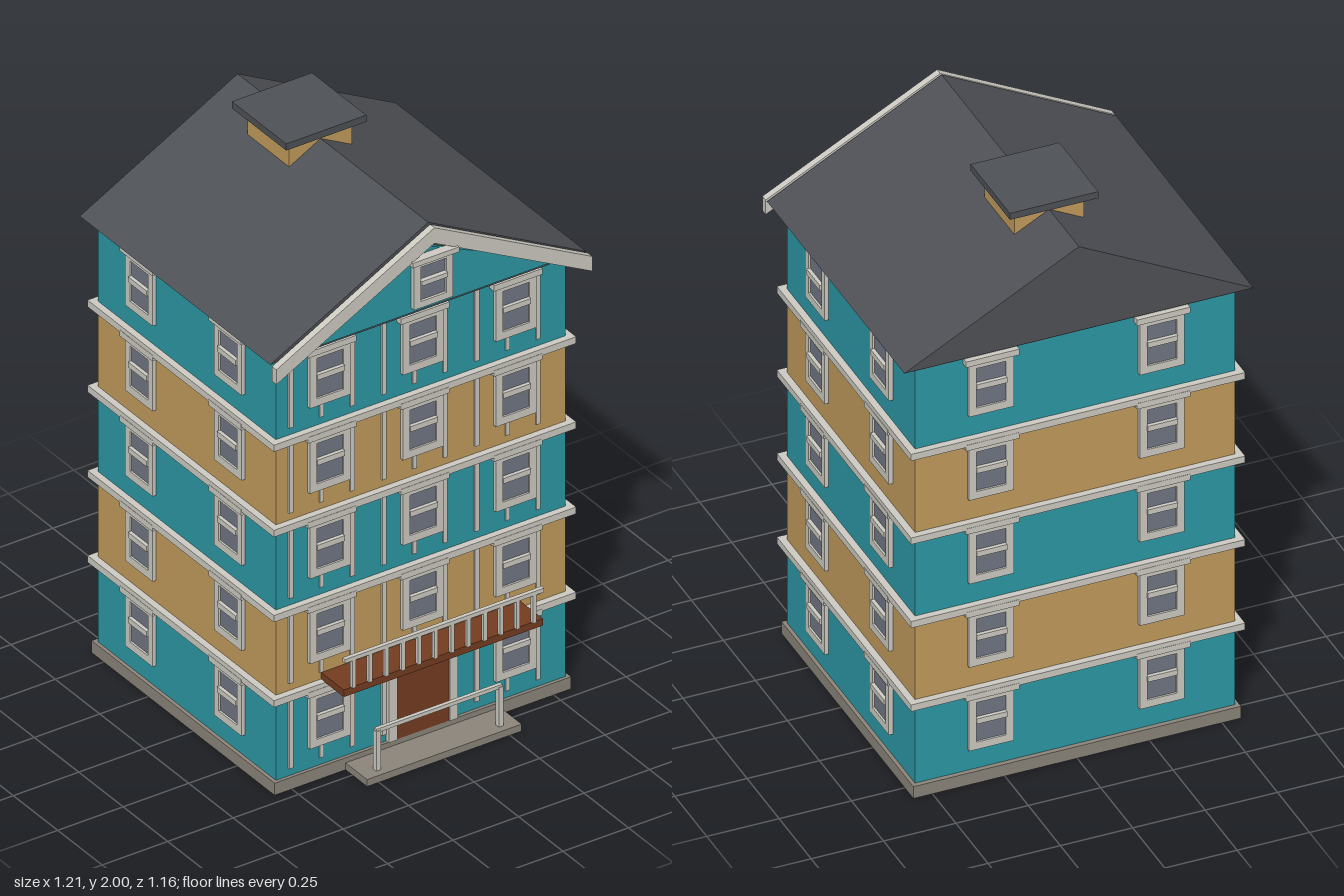
import * as THREE from 'three';

const mat = (name, color, extra = {}) => Object.assign(new THREE.MeshStandardMaterial({ color, ...extra }), { name });
const M = {
  teal: mat('teal wall', 0x2b98a5),
  tan: mat('tan wall', 0xc29b5c),
  trim: mat('pale trim', 0xcdcbc2),
  roof: mat('slate roof', 0x4e5156),
  glass: mat('window glass', 0x707684),
  wood: mat('brown wood', 0x743c20),
  stone: mat('stone base', 0x8b857a),
};

// Box given by its min and max on each axis
function box(parent, name, material, x0, x1, y0, y1, z0, z1) {
  const mesh = new THREE.Mesh(new THREE.BoxGeometry(x1 - x0, y1 - y0, z1 - z0), material);
  mesh.position.set((x0 + x1) / 2, (y0 + y1) / 2, (z0 + z1) / 2);
  mesh.name = name;
  parent.add(mesh);
  return mesh;
}

// Flat outline in x, y pushed from z0 to z1
function slab(parent, name, material, points, z0, z1, hole) {
  const shape = new THREE.Shape(points.map(p => new THREE.Vector2(...p)));
  if (hole) shape.holes.push(new THREE.Path(hole.map(p => new THREE.Vector2(...p))));
  const geo = new THREE.ExtrudeGeometry(shape, { depth: z1 - z0, bevelEnabled: false });
  geo.translate(0, 0, z0);
  const mesh = new THREE.Mesh(geo, material);
  mesh.name = name;
  parent.add(mesh);
  return mesh;
}

const rect = (w, y0, y1) => [[-w, y0], [w, y0], [w, y1], [-w, y1]];

// Sash window standing on the local origin, facing +z
function makeWindow() {
  const g = new THREE.Group();
  g.name = 'window';
  slab(g, 'windowFrame', M.trim, rect(0.077, 0, 0.205), 0, 0.014, rect(0.051, 0.028, 0.178));
  box(g, 'windowGlass', M.glass, -0.052, 0.052, 0.027, 0.179, 0, 0.007);
  box(g, 'windowBar', M.trim, -0.052, 0.052, 0.1, 0.12, 0, 0.02);
  box(g, 'windowHead', M.trim, -0.092, 0.092, 0.198, 0.22, 0, 0.025);
  return g;
}

function placeWindow(parent, x, y, z, turn = 0) {
  const w = makeWindow();
  w.position.set(x, y, z);
  w.rotation.y = turn;
  parent.add(w);
  return w;
}

const BASE = 0.045, STOREY = 0.317, FRONT = 0.45, BACK = -0.55, SIDE = 0.553;

export function createModel() {
  const model = new THREE.Group();
  model.name = 'townhouse';

  // Foundation and entrance step
  box(model, 'foundation', M.stone, -0.566, 0.566, 0, BASE, -0.567, 0.462);
  box(model, 'entranceStep', M.stone, -0.295, 0.295, 0, 0.026, 0.45, 0.583);

  // Five storeys in alternating colours
  for (let k = 0; k < 5; k++) {
    const y = BASE + k * STOREY, top = y + STOREY;
    const storey = new THREE.Group();
    storey.name = 'storey' + (k + 1);
    model.add(storey);
    box(storey, 'walls', k % 2 ? M.tan : M.teal, -SIDE, SIDE, y, top, BACK, FRONT);
    const out = k < 4 ? 0.024 : 0.008;
    box(storey, 'corniceBand', M.trim, -SIDE - out, SIDE + out, top - (k < 4 ? 0.025 : 0.016), top, BACK - out, FRONT + out);

    // Front windows with thin wall battens
    for (const x of [-0.355, 0, 0.355]) {
      if (k > 0 || x !== 0) placeWindow(storey, x, y + 0.08, FRONT);
      for (const dx of [-0.143, -0.026, 0.091]) {
        if (k === 0 && x === 0 && dx === -0.026) continue;
        box(storey, 'batten', M.trim, x + dx - 0.008, x + dx + 0.008, y + 0.028, y + 0.292, FRONT - 0.002, FRONT + 0.006);
      }
    }
    // Side and back windows
    for (const s of [-1, 1]) {
      for (const z of [0.2, -0.3]) placeWindow(storey, s * SIDE, y + 0.08, z, s * Math.PI / 2);
      placeWindow(storey, s * 0.295, y + 0.08, BACK, Math.PI);
    }
  }

  // Front door and its casing
  box(model, 'door', M.wood, -0.1, 0.1, BASE, 0.335, FRONT, 0.462);
  for (const s of [-1, 1])
    box(model, 'doorCasing', M.trim, s * 0.116 - 0.016, s * 0.116 + 0.016, BASE, 0.336, FRONT, 0.466);

  // Balcony with balustrade
  const balcony = new THREE.Group();
  balcony.name = 'balcony';
  model.add(balcony);
  box(balcony, 'balconyFloor', M.wood, -0.38, 0.38, 0.36, 0.386, FRONT, 0.577);
  box(balcony, 'balconyRail', M.trim, -0.38, 0.38, 0.488, 0.503, 0.569, 0.584);
  for (let i = 0; i < 12; i++) {
    const x = -0.344 + i * 0.0626;
    box(balcony, 'baluster', M.trim, x - 0.007, x + 0.007, 0.384, 0.49, 0.57, 0.583);
  }

  // Handrail on the step
  for (const s of [-1, 1])
    box(model, 'handrailPost', M.trim, s * 0.234 - 0.009, s * 0.234 + 0.009, 0.026, 0.172, 0.54, 0.558);
  box(model, 'handrail', M.trim, -0.24, 0.24, 0.166, 0.18, 0.542, 0.556);

  // Pitched roof, teal gable and bargeboards
  slab(model, 'roof', M.roof, [[-0.603, 1.631], [0.603, 1.631], [0, 1.95]], -0.58, 0.492);
  slab(model, 'gable', M.teal, [[-0.495, 1.645], [0.495, 1.645], [0, 1.868]], 0.49, 0.504);
  slab(model, 'bargeboard', M.trim,
    [[-0.603, 1.575], [0, 1.89], [0.603, 1.575], [0.603, 1.63], [0, 1.948], [-0.603, 1.63]], 0.502, 0.527);
  const attic = placeWindow(model, 0, 1.664, 0.504);
  attic.name = 'atticWindow';
  attic.scale.set(0.96, 0.85, 1.3);

  // Chimney
  box(model, 'chimney', M.tan, -0.12, 0.12, 1.8, 1.98, -0.347, -0.113);
  box(model, 'chimneyCap', M.roof, -0.153, 0.153, 1.975, 2, -0.387, -0.081);

  return model;
}
